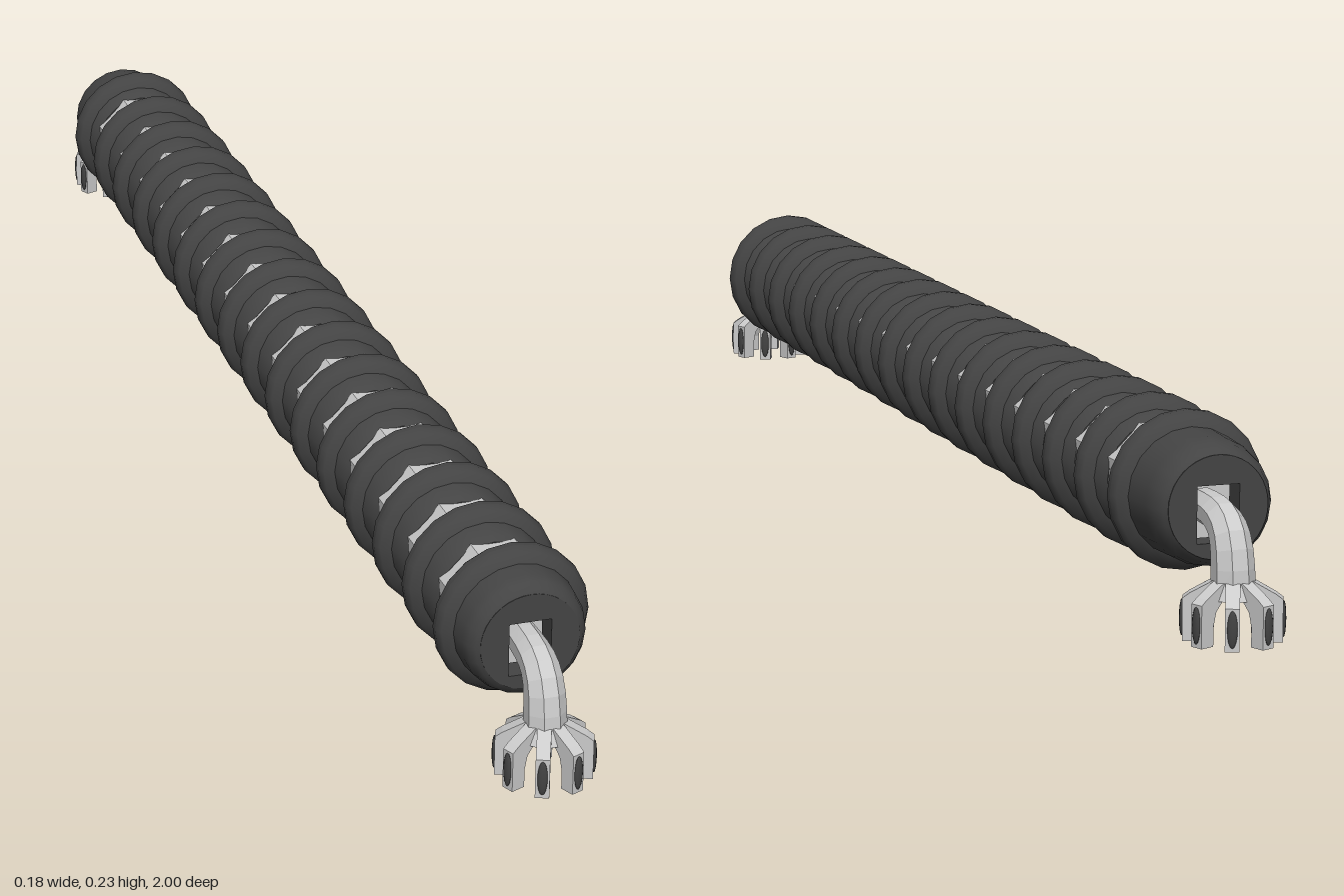
import * as THREE from 'three';
import { toCreasedNormals } from 'three/addons/utils/BufferGeometryUtils.js';

const AXIS_Y = 0.139;      // height of the tube axis
const CLAW_Z = 0.945;      // distance of each claw from the middle
const RINGS = 16, FIRST = 0.83, PITCH = 0.1087;

const metal = new THREE.MeshStandardMaterial({ color: 0xcccccc, flatShading: true });
const rubber = new THREE.MeshStandardMaterial({ color: 0x444444 });

function part(name, geometry, material, parent) {
  const mesh = new THREE.Mesh(geometry, material);
  mesh.name = name;
  parent.add(mesh);
  return mesh;
}

// Turned ring along z; profile is [radius, z] from back to front
function turned(profile) {
  const g = new THREE.LatheGeometry(profile.map(([r, z]) => new THREE.Vector2(r, z)), 20);
  g.rotateX(Math.PI / 2);
  return toCreasedNormals(g, 0.7);
}

const flange = [[0.075, -0.018], [0.087, -0.012], [0.092, -0.004], [0.092, 0.004], [0.087, 0.012], [0.075, 0.018]];
const backEdge = [[0.05, -0.037], [0.066, -0.037], [0.071, -0.031]];
const frontEdge = [[0.07, 0.043], [0.065, 0.049], [0.05, 0.049]];

// Rounded end sleeve closed by a face with a square socket
function endSleeve(length) {
  const group = new THREE.Group();
  part('sleeve', turned([
    ...backEdge, ...flange,
    [0.073, length * 0.65], [0.07, length * 0.82], [0.064, length * 0.95], [0.058, length],
  ]), rubber, group);
  const face = new THREE.Shape().absarc(0, 0, 0.059, 0, Math.PI * 2);
  const socket = new THREE.Path();
  socket.moveTo(-0.025, -0.04).lineTo(-0.025, 0.025).lineTo(0.025, 0.025).lineTo(0.025, -0.04).closePath();
  face.holes.push(socket);
  const g = new THREE.ExtrudeGeometry(face, { depth: 0.03, bevelEnabled: false, curveSegments: 20 });
  g.translate(0, 0, length - 0.03);
  part('socketFace', g, rubber, group);
  return group;
}

// Eight-sided arm bending from the socket down to the claw
function bentArm() {
  const path = new THREE.CubicBezierCurve3(
    new THREE.Vector3(0, 0.133, 0.85), new THREE.Vector3(0, 0.134, 0.925),
    new THREE.Vector3(0, 0.13, CLAW_Z), new THREE.Vector3(0, 0.055, CLAW_Z));
  const g = new THREE.CylinderGeometry(1, 1, 1, 8, 8);
  g.rotateY(Math.PI / 8);
  const p = g.attributes.position;
  const side = new THREE.Vector3(1, 0, 0);
  for (let i = 0; i < p.count; i++) {
    const t = 0.5 - p.getY(i);
    const half = 0.019 + 0.006 * t;
    const normal = side.clone().cross(path.getTangent(t).negate());
    const v = path.getPoint(t)
      .addScaledVector(side, p.getX(i) * half)
      .addScaledVector(normal, p.getZ(i) * half);
    p.setXYZ(i, v.x, v.y, v.z);
  }
  g.computeVertexNormals();
  return g;
}

// One hooked finger in the radius/height plane
function fingerGeometry() {
  const s = new THREE.Shape([
    [0.008, 0.05], [0.022, 0.05], [0.033, 0.038], [0.037, 0.022], [0.037, 0],
    [0.055, 0], [0.055, 0.048], [0.047, 0.054], [0.022, 0.068], [0.008, 0.068],
  ].map(([x, y]) => new THREE.Vector2(x, y)));
  const g = new THREE.ExtrudeGeometry(s, { depth: 0.016, bevelEnabled: false });
  g.translate(0, 0, -0.008);
  return g;
}

function buildClaw() {
  const claw = new THREE.Group();
  claw.name = 'claw';
  claw.position.z = CLAW_Z;
  const hub = new THREE.CylinderGeometry(0.024, 0.033, 0.018, 8);
  hub.rotateY(Math.PI / 8);
  part('hub', hub, metal, claw).position.y = 0.058;

  const finger = fingerGeometry();
  const pad = new THREE.SphereGeometry(1, 10, 8);
  pad.scale(0.003, 0.021, 0.006);
  for (let i = 0; i < 8; i++) {
    const arm = new THREE.Group();
    arm.name = 'finger' + (i + 1);
    arm.rotation.y = (i + 0.5) * Math.PI / 4;
    part('fingerHook', finger, metal, arm);
    part('fingerPad', pad, rubber, arm).position.set(0.0555, 0.025, 0);
    claw.add(arm);
  }
  return claw;
}

export function createModel() {
  const model = new THREE.Group();
  model.name = 'segmentedGripTube';

  // Faceted inner tube visible between the rings
  const core = new THREE.CylinderGeometry(0.069, 0.069, 1.63, 8);
  core.rotateY(Math.PI / 8);
  core.rotateX(Math.PI / 2);
  part('innerTube', core, metal, model).position.set(0, AXIS_Y, 0.015);

  // Row of flanged rings
  const ring = turned([...backEdge, ...flange, ...frontEdge]);
  for (let i = 1; i < RINGS - 1; i++) {
    part('ring' + i, ring, rubber, model).position.set(0, AXIS_Y, FIRST - i * PITCH);
  }

  // End sleeves
  const front = endSleeve(0.063);
  front.name = 'frontSleeve';
  front.position.set(0, AXIS_Y, FIRST);
  const back = endSleeve(0.1);
  back.name = 'backSleeve';
  back.position.set(0, AXIS_Y, FIRST - (RINGS - 1) * PITCH);
  back.rotation.y = Math.PI;
  model.add(front, back);

  // Bent arm and claw at each end
  const armGeometry = bentArm();
  for (const [name, turn] of [['frontGrip', 0], ['backGrip', Math.PI]]) {
    const grip = new THREE.Group();
    grip.name = name;
    grip.rotation.y = turn;
    part('bentArm', armGeometry, metal, grip);
    grip.add(buildClaw());
    model.add(grip);
  }
  return model;
}
